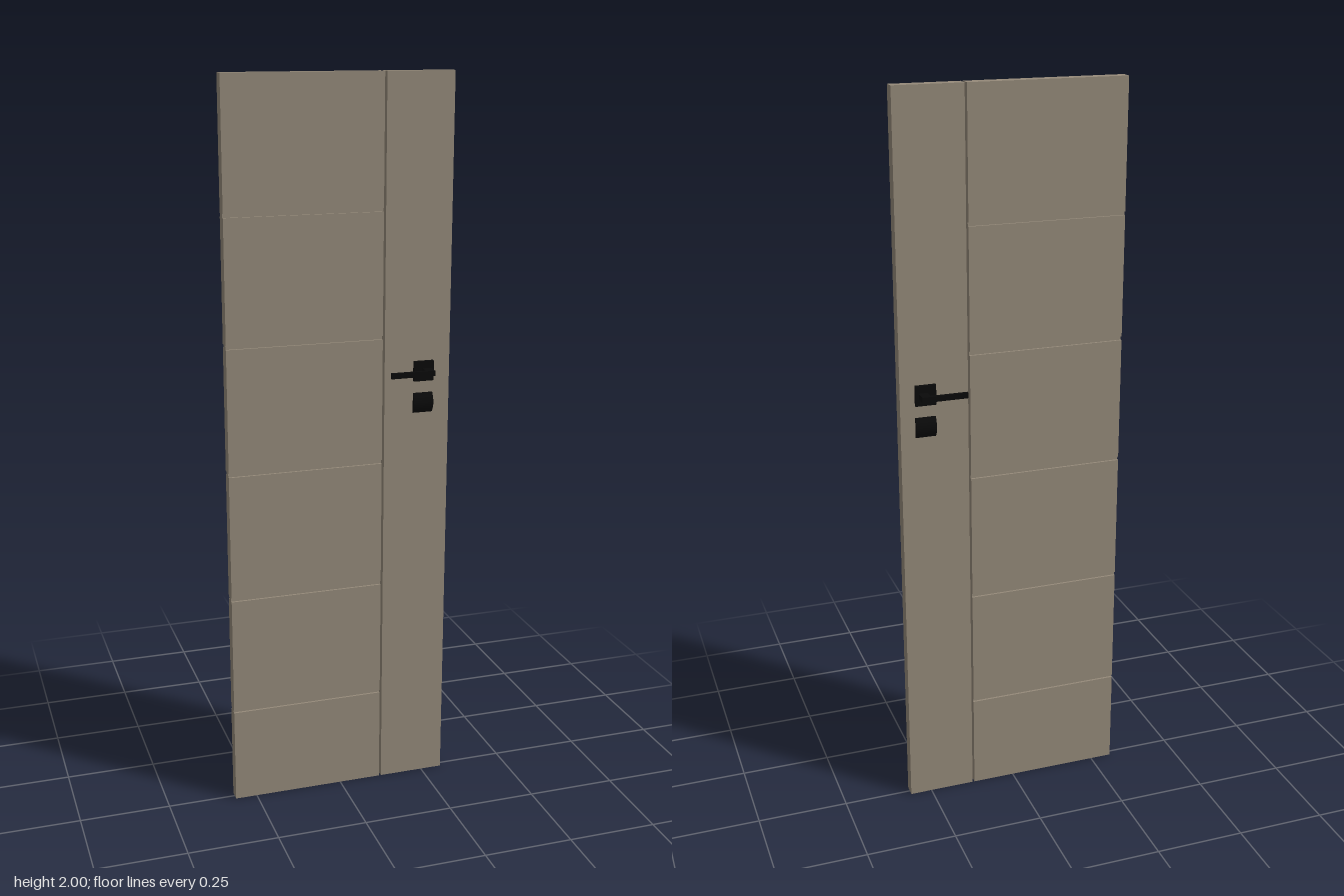
import * as THREE from 'three';

export function createModel() {
  const wood = new THREE.MeshStandardMaterial({ color: 0x958a7a });
  wood.name = 'taupeWood';
  const black = new THREE.MeshStandardMaterial({ color: 0x0a0a0a });
  black.name = 'blackMetal';

  const model = new THREE.Group();
  model.name = 'door';

  // box given by its two extreme values on each axis
  const box = (parent, name, mat, [x0, x1], [y0, y1], [z0, z1]) => {
    const mesh = new THREE.Mesh(new THREE.BoxGeometry(x1 - x0, y1 - y0, z1 - z0), mat);
    mesh.position.set((x0 + x1) / 2, (y0 + y1) / 2, (z0 + z1) / 2);
    mesh.name = name;
    parent.add(mesh);
  };

  const T = 0.017; // half thickness of the leaf
  const left = -0.311, seam = 0.119;

  // lock stile, separated from the panels by a narrow open seam
  box(model, 'lockStile', wood, [0.125, 0.311], [0, 2], [-T, T]);

  // stacked panels with recessed grooves between them on both faces
  const grooves = [[0.268, 0.275], [0.602, 0.612], [0.958, 0.968], [1.305, 1.315], [1.645, 1.655]];
  let bottom = 0;
  for (const [g0, g1] of [...grooves, [2, 2]]) {
    box(model, 'panel', wood, [left, seam], [bottom, g0], [-T, T]);
    if (g1 > g0) box(model, 'grooveCore', wood, [left, seam], [g0, g1], [-T + 0.006, T - 0.006]);
    bottom = g1;
  }

  // handle set: rose, neck, lever and a domed lock cover
  const handleSet = (name) => {
    const set = new THREE.Group();
    set.name = name;
    box(set, 'rose', black, [-0.028, 0.028], [1.185, 1.24], [T, 0.027]);
    box(set, 'neck', black, [-0.005, 0.019], [1.205, 1.22], [0.025, 0.06]);
    box(set, 'lever', black, [-0.105, 0.019], [1.205, 1.22], [0.052, 0.061]);

    const profile = new THREE.Shape();
    profile.moveTo(T - 0.002, -0.028);
    profile.lineTo(T, -0.028);
    profile.quadraticCurveTo(0.039, 0, T, 0.028);
    profile.lineTo(T - 0.002, 0.028);
    const geometry = new THREE.ExtrudeGeometry(profile, { depth: 0.056, bevelEnabled: false, curveSegments: 16 });
    geometry.translate(0, 0, -0.028).rotateY(-Math.PI / 2);
    const cover = new THREE.Mesh(geometry, black);
    cover.name = 'lockCover';
    cover.position.y = 1.123;
    set.add(cover);
    model.add(set);
    return set;
  };

  handleSet('frontHandle').position.x = 0.235;

  // the rear set is turned over, its lever still pointing to the panels
  const rear = handleSet('rearHandle');
  rear.position.x = 0.243;
  for (const part of rear.children) {
    part.position.z *= -1;
    if (part.name === 'lockCover') part.rotation.y = Math.PI;
  }
  return model;
}
